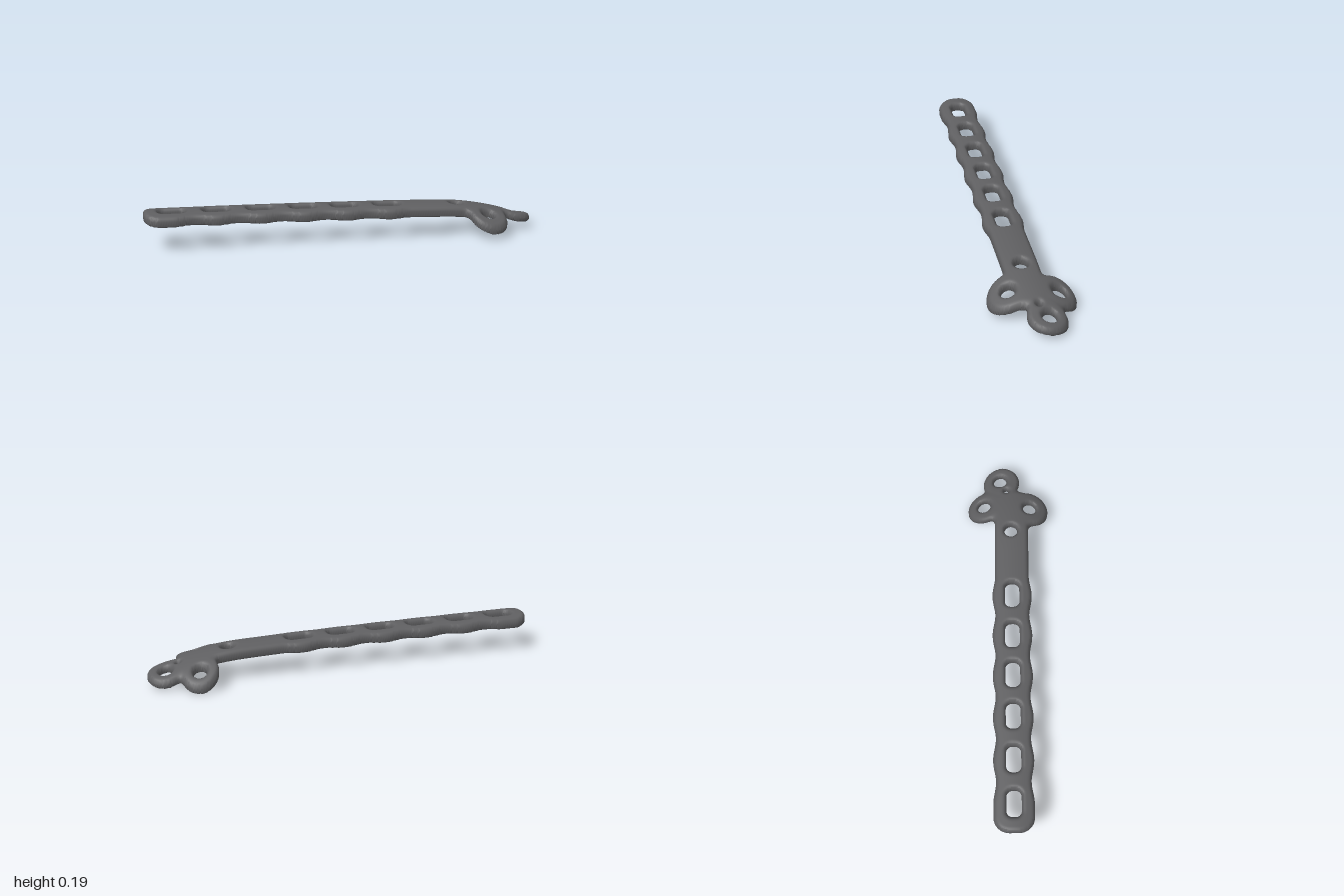
import * as THREE from 'three';

const CELL = 0.0062, MID_Z = 0.013;
const SLOT_X = [-0.86, -0.64, -0.42, -0.205, 0.005, 0.225];
// round holes: x, z, radius
const HOLES = [[0.59, 0.01, 0.034], [0.757, -0.13, 0.034], [0.91, -0.045, 0.034], [0.735, 0.108, 0.034], [0.843, -0.012, 0.012]];
// head lobes: x, z, radius
const LOBES = [[0.755, -0.124, 0.09], [0.905, -0.038, 0.094], [0.735, 0.107, 0.098]];

// height of the top surface and thickness along the plate
const stations = [-1, -0.5, 0, 0.4, 0.6, 0.7, 0.8, 0.9, 1];
const curve = values => {
  const c = new THREE.CubicInterpolant(stations, values, 1, new Float32Array(1));
  return x => c.evaluate(THREE.MathUtils.clamp(x, -1, 0.9999))[0];
};
const topHeight = curve([0.179, 0.175, 0.167, 0.157, 0.147, 0.132, 0.11, 0.081, 0.058]);
const thickness = curve([0.05, 0.05, 0.05, 0.05, 0.05, 0.048, 0.046, 0.043, 0.04]);

function smoothMin(a, b, k) {
  const h = Math.max(k - Math.abs(a - b), 0) / k;
  return Math.min(a, b) - h * h * k * 0.25;
}

// signed distance to the outline: scalloped bar blended with three lobes
function outline(x, z) {
  const phase = Math.cos((Math.max(x, -0.86) + 0.86) / 0.217 * Math.PI * 2);
  const w = x < 0.33 ? 0.093 + 0.007 * phase : 0.086;
  const r = 0.08;
  const qx = Math.abs(x + 0.08) - 0.92 + r, qz = Math.abs(z - MID_Z) - w + r;
  let d = Math.hypot(Math.max(qx, 0), Math.max(qz, 0)) + Math.min(Math.max(qx, qz), 0) - r;
  for (const [lx, lz, lr] of LOBES) d = smoothMin(d, Math.hypot(x - lx, z - lz) - lr, 0.04);
  return d;
}

// signed distance to the nearest slot or hole
function openings(x, z) {
  let d = 1;
  for (const sx of SLOT_X) {
    const qx = Math.max(Math.abs(x - sx) - 0.037, 0), qz = Math.max(Math.abs(z - MID_Z) - 0.007, 0);
    d = Math.min(d, Math.hypot(qx, qz) - 0.03);
  }
  for (const [hx, hz, hr] of HOLES) d = Math.min(d, Math.hypot(x - hx, z - hz) - hr);
  return d;
}
const shape = (x, z) => Math.max(outline(x, z), -openings(x, z));

// drop of a rounded edge at distance d from the rim
function rounding(d, r, depth) {
  const t = 1 - THREE.MathUtils.clamp(d / r, 0, 1);
  return depth * (1 - Math.sqrt(1 - t * t));
}

// move a point onto the edge of the shape
function snap(p) {
  const e = 0.0005;
  for (let n = 0; n < 5; n++) {
    const d = shape(p[0], p[1]);
    const gx = (shape(p[0] + e, p[1]) - shape(p[0] - e, p[1])) / (2 * e);
    const gz = (shape(p[0], p[1] + e) - shape(p[0], p[1] - e)) / (2 * e);
    const g = Math.max(gx * gx + gz * gz, 0.3);
    p[0] -= d * gx / g;
    p[1] -= d * gz / g;
  }
}

function plateGeometry() {
  const x0 = -1.02, z0 = -0.24, nx = Math.ceil(2.04 / CELL), nz = Math.ceil(0.48 / CELL);
  const inside = (i, k) => shape(x0 + (i + 0.5) * CELL, z0 + (k + 0.5) * CELL) < 0;
  const kept = [];
  for (let i = 0; i < nx; i++) {
    kept.push([]);
    for (let k = 0; k < nz; k++) kept[i].push(inside(i, k));
  }
  const has = (i, k) => !!(kept[i] && kept[i][k]);

  const ids = new Map(), points = [], index = [], walls = [];
  const vertex = (i, k) => {
    const key = i * 1000 + k;
    if (!ids.has(key)) {
      const p = [x0 + i * CELL, z0 + k * CELL];
      const rim = !(has(i, k) && has(i - 1, k) && has(i, k - 1) && has(i - 1, k - 1));
      if (rim) snap(p);
      ids.set(key, points.length);
      points.push(p);
    }
    return ids.get(key);
  };

  // upper and lower faces, and the rim edges
  for (let i = 0; i < nx; i++) for (let k = 0; k < nz; k++) {
    if (!has(i, k)) continue;
    const a = vertex(i, k), b = vertex(i + 1, k), c = vertex(i + 1, k + 1), d = vertex(i, k + 1);
    if ((i + k) % 2) index.push(a, d, c, a, c, b);
    else index.push(a, d, b, d, c, b);
    if (!has(i - 1, k)) walls.push([a, d]);
    if (!has(i, k + 1)) walls.push([d, c]);
    if (!has(i + 1, k)) walls.push([c, b]);
    if (!has(i, k - 1)) walls.push([b, a]);
  }
  const n = points.length, topCount = index.length;
  for (let t = 0; t < topCount; t += 3) index.push(index[t] + n, index[t + 2] + n, index[t + 1] + n);
  for (const [p, q] of walls) index.push(q, p, p + n, q, p + n, q + n);

  // crowned top with dished openings, hollow underside
  const top = [], bottom = [];
  for (const [x, z] of points) {
    const base = topHeight(x) - 1.75 * (z - MID_Z) ** 2;
    const edge = Math.max(-outline(x, z), 0), hole = Math.max(openings(x, z), 0);
    const fall = Math.max(rounding(edge, 0.022, 0.017), rounding(hole, 0.024, 0.02));
    const rise = Math.max(rounding(edge, 0.012, 0.01), rounding(hole, 0.006, 0.005));
    top.push(x, base - fall, z);
    bottom.push(x, base - thickness(x) + rise, z);
  }
  const geometry = new THREE.BufferGeometry();
  geometry.setAttribute('position', new THREE.Float32BufferAttribute(top.concat(bottom), 3));
  geometry.setIndex(index);
  geometry.computeVertexNormals();
  geometry.computeBoundingBox();
  geometry.translate(0, -geometry.boundingBox.min.y, 0);
  return geometry;
}

export function createModel() {
  const group = new THREE.Group();
  group.name = 'bonePlate';
  const darkGrey = new THREE.MeshStandardMaterial({ color: 0x5f5f61 });
  darkGrey.name = 'dark grey metal';
  const plate = new THREE.Mesh(plateGeometry(), darkGrey);
  plate.name = 'slottedPlate';
  group.add(plate);
  return group;
}
